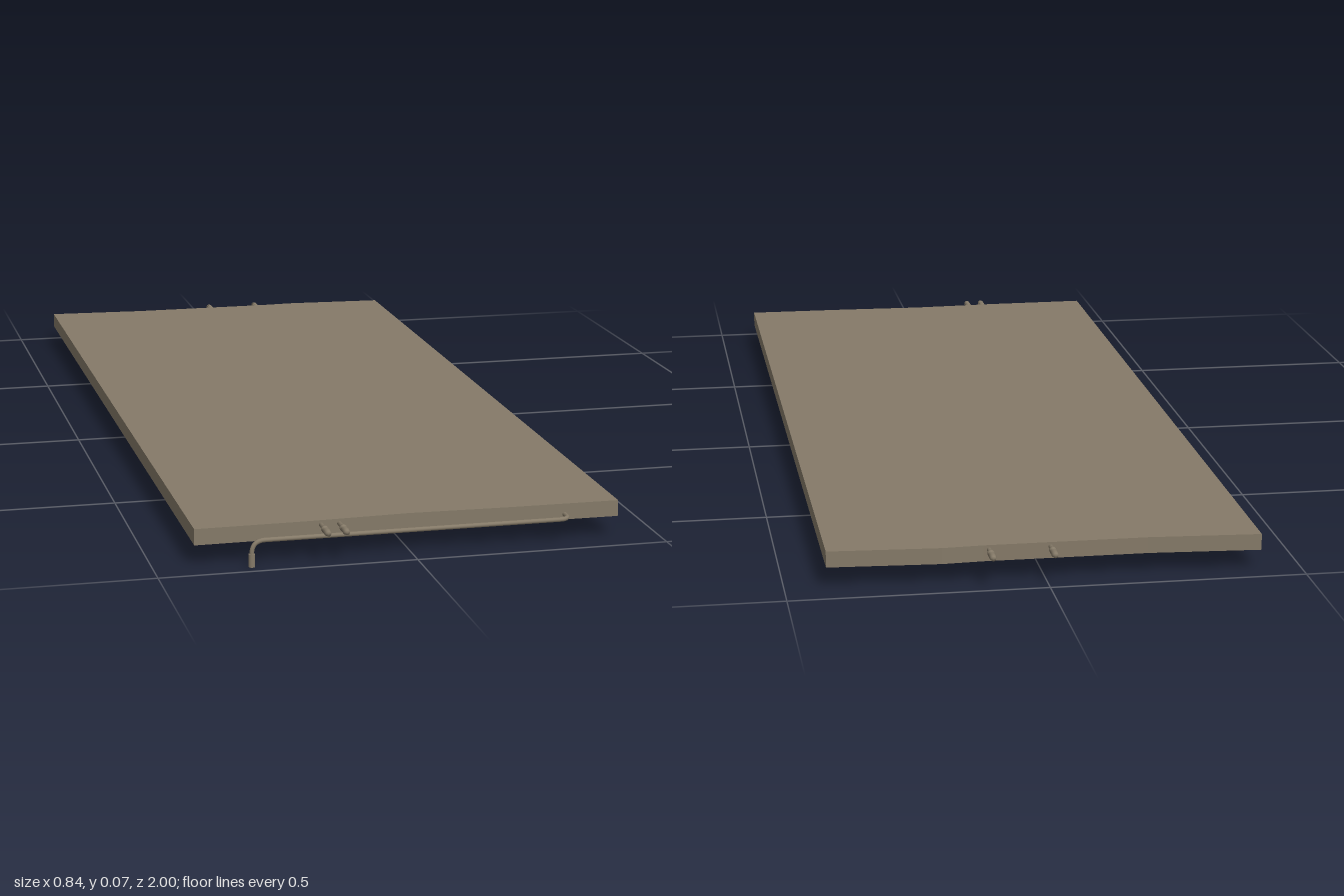
import * as THREE from 'three';

export function createModel() {
  const model = new THREE.Group();
  const material = new THREE.MeshStandardMaterial({ color: 0x857a68 });
  const slabMaterial = material.clone();
  slabMaterial.flatShading = true;

  const add = (name, geometry, mat = material) => {
    const mesh = new THREE.Mesh(geometry, mat);
    mesh.name = name;
    model.add(mesh);
    return mesh;
  };

  // Thin slab with slightly uneven ends, outlined as (x, z)
  const outline = [
    [-0.42, -0.96], [-0.2, -0.946], [0.12, -0.946], [0.2, -0.95], [0.42, -0.937],
    [0.42, 0.94], [0.2, 0.938], [0, 0.932], [-0.2, 0.94], [-0.42, 0.942],
  ];
  const shape = new THREE.Shape(outline.map(([x, z]) => new THREE.Vector2(x, -z)));
  const slab = new THREE.ExtrudeGeometry(shape, { depth: 0.032, bevelEnabled: false });
  slab.rotateX(-Math.PI / 2).translate(0, 0.04, 0);
  add('slab', slab, slabMaterial);

  // Drain pipe: out of the front edge, along it, then down
  const v = (x, y, z) => new THREE.Vector3(x, y, z);
  const path = new THREE.CurvePath();
  path.add(new THREE.LineCurve3(v(0.311, 0.051, 0.92), v(0.311, 0.051, 0.95)));
  path.add(new THREE.QuadraticBezierCurve3(v(0.311, 0.051, 0.95), v(0.311, 0.051, 0.972), v(0.289, 0.051, 0.972)));
  path.add(new THREE.LineCurve3(v(0.289, 0.051, 0.972), v(-0.29, 0.051, 0.972)));
  path.add(new THREE.QuadraticBezierCurve3(v(-0.29, 0.051, 0.972), v(-0.316, 0.051, 0.972), v(-0.316, 0.025, 0.972)));
  path.add(new THREE.LineCurve3(v(-0.316, 0.025, 0.972), v(-0.316, 0.015, 0.972)));
  add('drainPipe', new THREE.TubeGeometry(path, 240, 0.0045, 12));
  add('pipeNozzle', new THREE.CylinderGeometry(0.0065, 0.0065, 0.025, 16)).position.set(-0.316, 0.0125, 0.972);

  // Ribbed hose connectors on both ends
  const profile = [
    [0, 0], [0.0045, 0], [0.0045, 0.03], [0.007, 0.03], [0.007, 0.036], [0.0045, 0.036],
    [0.0045, 0.046], [0.007, 0.046], [0.005, 0.055], [0.007, 0.055], [0.005, 0.065], [0, 0.065],
  ].map(([r, y]) => new THREE.Vector2(r, y));
  const connector = new THREE.LatheGeometry(profile, 16).rotateX(Math.PI / 2);
  for (const [name, x, end] of [
    ['frontConnectorRight', -0.174, 1], ['frontConnectorLeft', -0.138, 1],
    ['backConnectorRight', -0.01, -1], ['backConnectorLeft', 0.109, -1],
  ]) {
    const mesh = add(name, connector);
    mesh.position.set(x, 0.063, end * 0.935);
    if (end < 0) mesh.rotation.y = Math.PI;
  }

  return model;
}
